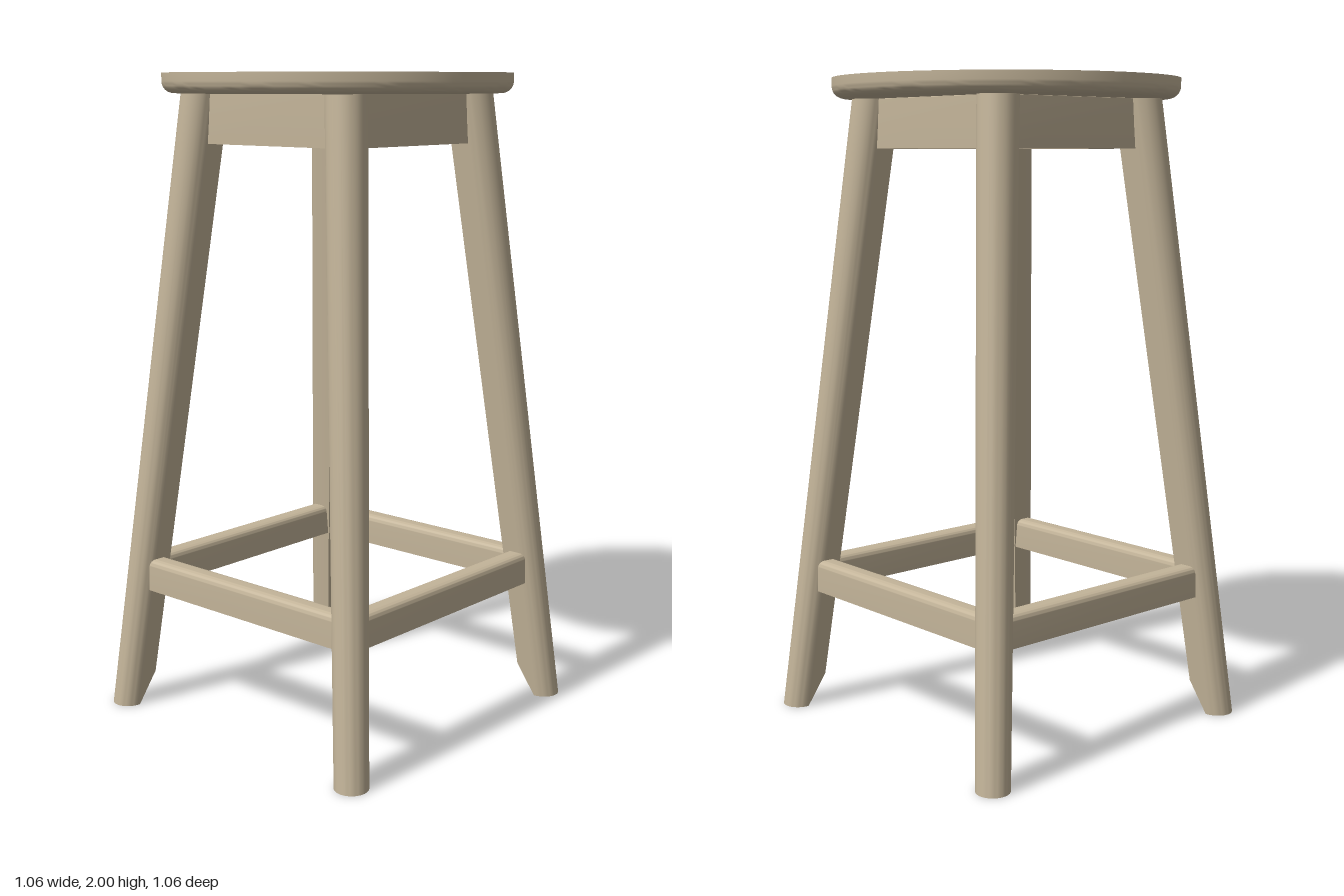
import * as THREE from 'three';
import { toCreasedNormals } from 'three/addons/utils/BufferGeometryUtils.js';
import { ConvexGeometry } from 'three/addons/geometries/ConvexGeometry.js';

const SEAT_UNDERSIDE = 1.94;

// Leg centre line and radius at height y (same offset in x and z)
const legCentre = (y) => THREE.MathUtils.lerp(0.48, 0.292, y / SEAT_UNDERSIDE);
const legRadius = (y) => THREE.MathUtils.lerp(0.051, 0.061, y / SEAT_UNDERSIDE);

// Splayed leg: round outside, square inner corner, foot chamfered on the inside
function legGeometry() {
  const points = [];
  for (const y of [0, SEAT_UNDERSIDE]) {
    const c = legCentre(y), r = legRadius(y);
    for (let i = 0; i <= 30; i++) {
      const a = -Math.PI / 2 + (i / 30) * Math.PI * 1.5;
      points.push(new THREE.Vector3(c + r * Math.cos(a), y, c + r * Math.sin(a)));
    }
  }
  for (const y of [0.1, SEAT_UNDERSIDE]) {
    const corner = legCentre(y) - legRadius(y);
    points.push(new THREE.Vector3(corner, y, corner));
  }
  return toCreasedNormals(new ConvexGeometry(points), 0.5);
}

// Rail along x with section z0..z1, y0..y1 and rounded upper edges
function railGeometry(length, z0, z1, y0, y1, r) {
  const s = new THREE.Shape();
  s.moveTo(-z1, y0);
  s.lineTo(-z0, y0);
  s.lineTo(-z0, y1 - r);
  s.absarc(-z0 - r, y1 - r, r, 0, Math.PI / 2, false);
  s.lineTo(-z1 + r, y1);
  s.absarc(-z1 + r, y1 - r, r, Math.PI / 2, Math.PI, false);
  s.closePath();
  const g = new THREE.ExtrudeGeometry(s, { depth: length, bevelEnabled: false, curveSegments: 6 });
  g.translate(0, 0, -length / 2);
  g.rotateY(Math.PI / 2); // section x becomes -z, so the rail sits at +z
  return toCreasedNormals(g, 0.5);
}

// Round seat with a softened lower edge
function seatGeometry() {
  const r = 0.035, R = 0.53;
  const profile = [new THREE.Vector2(0, SEAT_UNDERSIDE)];
  for (let i = 0; i <= 8; i++) {
    const a = -Math.PI / 2 + (i / 8) * Math.PI / 2;
    profile.push(new THREE.Vector2(R - r + r * Math.cos(a), SEAT_UNDERSIDE + r + r * Math.sin(a)));
  }
  profile.push(new THREE.Vector2(R, 2), new THREE.Vector2(0, 2));
  return toCreasedNormals(new THREE.LatheGeometry(profile, 96), 0.5);
}

export function createModel() {
  const wood = new THREE.MeshStandardMaterial({ color: 0xc3b499 });
  wood.name = 'pale wood';

  const group = new THREE.Group();
  group.name = 'stool';
  const add = (name, geometry, turn = 0) => {
    const mesh = new THREE.Mesh(geometry, wood);
    mesh.name = name;
    mesh.rotation.y = turn;
    group.add(mesh);
  };

  add('seat', seatGeometry());

  // Four-way symmetric frame
  const leg = legGeometry();
  const apron = railGeometry(0.58, 0.25, 0.31, 1.79, SEAT_UNDERSIDE, 0.001);
  const stretcher = railGeometry(0.88, 0.392, 0.46, 0.39, 0.49, 0.02);
  const sides = ['front', 'left', 'back', 'right'];
  const corners = ['frontLeft', 'backLeft', 'backRight', 'frontRight'];
  for (let i = 0; i < 4; i++) {
    const turn = (i * Math.PI) / 2;
    add(corners[i] + 'Leg', leg, turn);
    add(sides[i] + 'Apron', apron, turn);
    add(sides[i] + 'Stretcher', stretcher, turn);
  }
  return group;
}
